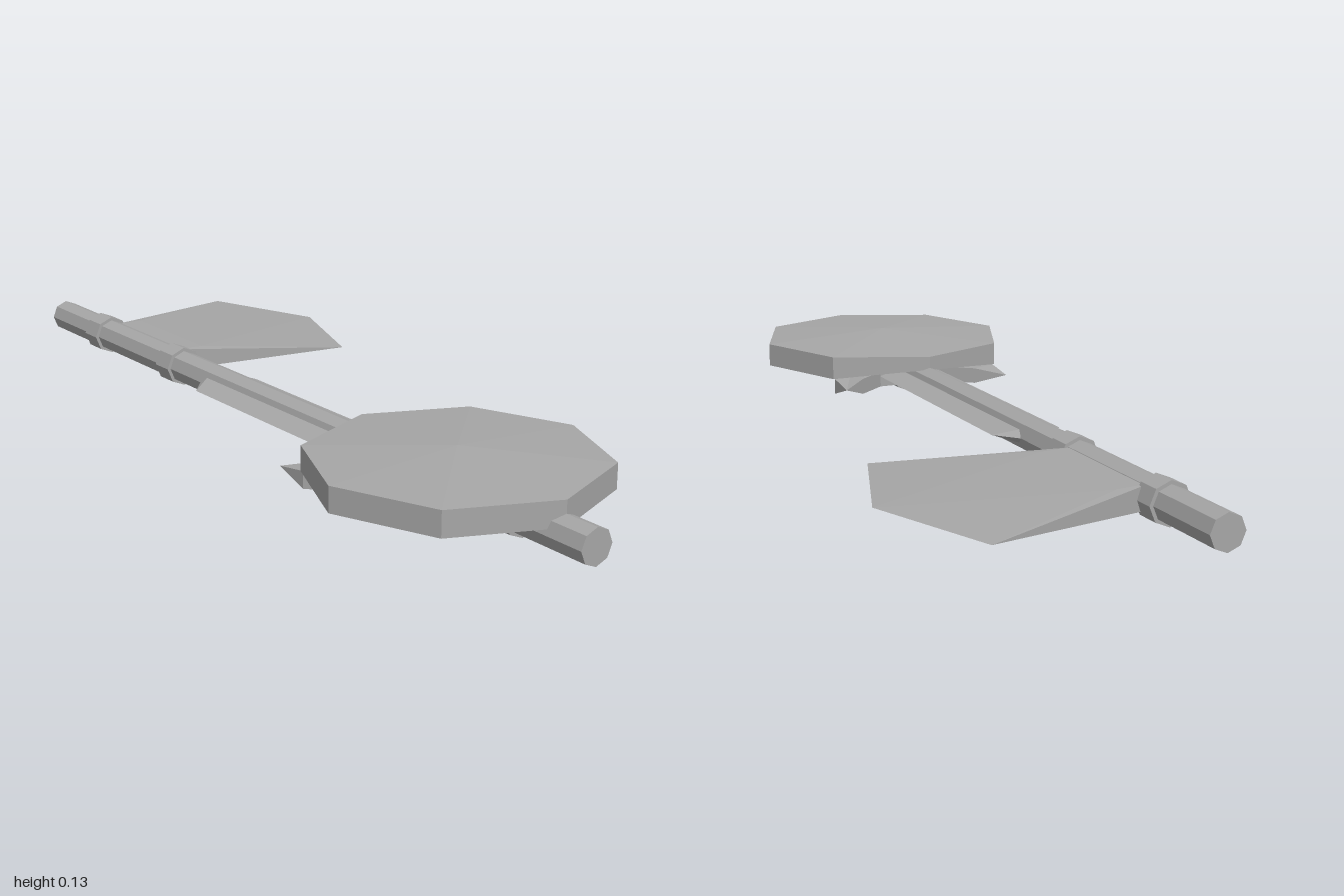
import * as THREE from 'three';
import { ConvexGeometry } from 'three/addons/geometries/ConvexGeometry.js';

const AX = -0.105, AY = 0.046; // shaft axis

export function createModel() {
  const model = new THREE.Group();
  model.name = 'axeWithShield';
  const steel = new THREE.MeshStandardMaterial({ color: 0xa6a6a6, flatShading: true });
  steel.name = 'steel grey';

  const add = (name, geometry, x = AX, y = AY, z = 0) => {
    const mesh = new THREE.Mesh(geometry, steel);
    mesh.name = name;
    mesh.position.set(x, y, z);
    model.add(mesh);
    return mesh;
  };
  const hull = (points) => new ConvexGeometry(points.map((p) => new THREE.Vector3(...p)));
  const rod = (radius, length) => new THREE.CylinderGeometry(radius, radius, length, 8).rotateX(Math.PI / 2);

  // Octagonal shaft and its collars
  add('shaft', rod(0.038, 2));
  for (const z of [-0.78, -0.425, 0.46, 0.78]) add('collar', rod(0.046, 0.056), AX, AY, z);

  // Axe blade, thick at the shaft and sharp at the outer edge
  const blade = [[0.515, 0, 0], [0.41, 0, 0.29], [0.41, 0, -0.29]];
  for (const z of [-0.15, 0.15]) {
    blade.push([0.035, 0, z]);
    for (const s of [-1, 1]) blade.push([0.085, s * 0.024, z], [0.015, s * 0.026, z * 0.98]);
  }
  add('axeBlade', hull(blade), AX, AY, -0.605);

  // Tapered fins on both sides of the shaft
  for (const s of [-1, 1]) {
    const fin = [[s * 0.082, 0, -0.21], [s * 0.082, 0, 0.45], [s * 0.04, 0, -0.26]];
    for (const y of [-0.018, 0.018]) fin.push([s * 0.02, y, -0.25], [s * 0.02, y, 0.45]);
    add('shaftFin', hull(fin));
  }

  // Domed octagonal shield, hollow underneath
  const profile = [[0, 0.095], [0.25, 0.088], [0.27, 0.057], [0.306, 0.057], [0.306, 0.111], [0, 0.129]];
  const shield = new THREE.LatheGeometry(profile.map(([r, y]) => new THREE.Vector2(r, y)), 8);
  const p = shield.attributes.position;
  for (let i = 0; i < p.count; i++) {
    // Rear corner of the rim rises to clear the shaft
    if (p.getZ(i) < -0.26 && p.getY(i) < 0.08) p.setY(i, 0.079);
  }
  add('shield', shield, AX, 0, 0.615);

  // Crescent guard with horns pointing back
  const half = [[0.135, 0.485], [0.212, 0.4], [0.212, 0.32], [0.15, 0.372], [0.08, 0.43]];
  const outline = [...half, ...half.map(([x, z]) => [-x, z]).reverse()];
  const guard = new THREE.ExtrudeGeometry(
    new THREE.Shape(outline.map(([x, z]) => new THREE.Vector2(x, -z))),
    { depth: 0.037, bevelEnabled: false },
  ).rotateX(-Math.PI / 2);
  const g = guard.attributes.position;
  for (let i = 0; i < g.count; i++) {
    if (g.getZ(i) < 0.33) g.setY(i, 0.025); // horn tips come to a point
  }
  add('guard', guard, AX, 0.02, 0);

  return model;
}
